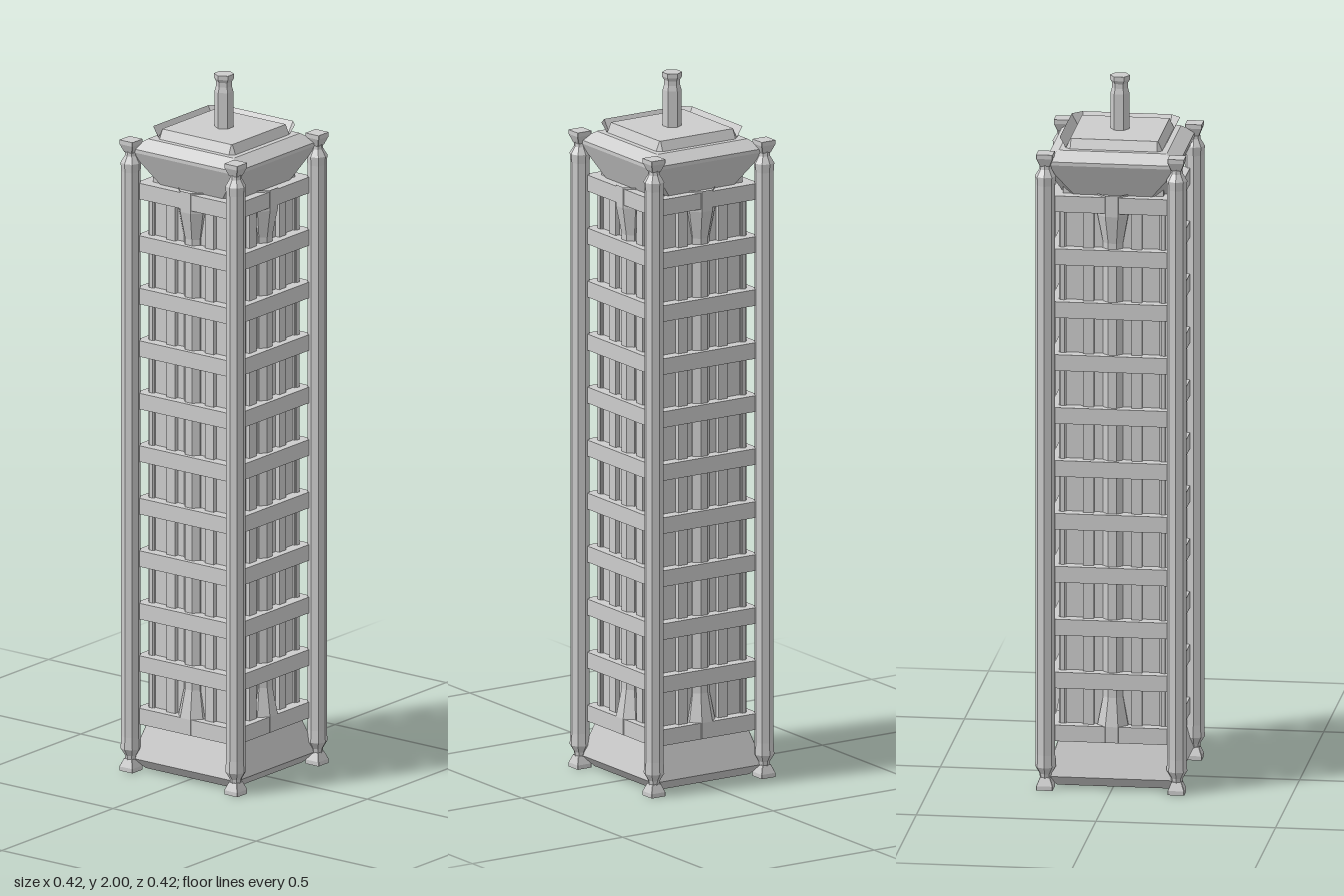
import * as THREE from 'three';

// Square outline with cut corners, half width h, cut c, at height y
const ring = (h, c, y) => [
  [h, h - c], [h - c, h], [c - h, h], [-h, h - c],
  [-h, c - h], [c - h, -h], [h - c, -h], [h, c - h],
].map(([x, z]) => [x, y, z]);

// Skin between rings stacked upward, with optional caps; inward flips the skin
function loft(rings, { bottom = false, top = false, inward = false } = {}) {
  const pos = [];
  const tri = (a, b, c) => pos.push(...a, ...(inward ? [...c, ...b] : [...b, ...c]));
  for (let i = 0; i < rings.length - 1; i++) {
    const lo = rings[i], hi = rings[i + 1], n = lo.length;
    for (let j = 0; j < n; j++) {
      const k = (j + 1) % n;
      tri(lo[j], hi[j], hi[k]);
      tri(lo[j], hi[k], lo[k]);
    }
  }
  const first = rings[0], last = rings[rings.length - 1];
  for (let j = 1; j < first.length - 1; j++) {
    if (bottom) tri(first[0], first[j], first[j + 1]);
    if (top) tri(last[0], last[j + 1], last[j]);
  }
  const g = new THREE.BufferGeometry();
  g.setAttribute('position', new THREE.Float32BufferAttribute(pos, 3));
  g.computeVertexNormals();
  return g;
}

export function createModel() {
  const model = new THREE.Group();
  model.name = 'tower';
  const stone = new THREE.MeshStandardMaterial({ color: 0xcccccc, flatShading: true });
  stone.name = 'grey stone';

  function add(parent, name, geometry, x = 0, y = 0, z = 0) {
    const mesh = new THREE.Mesh(geometry, stone);
    mesh.name = name;
    mesh.position.set(x, y, z);
    parent.add(mesh);
    return mesh;
  }
  // Turned part from [radius, height] points with few sides
  const turned = (points, sides) =>
    new THREE.LatheGeometry(points.map(([r, y]) => new THREE.Vector2(r, y)), sides);

  // Base, recessed core and flared crown
  add(model, 'base', loft([
    ring(0.155, 0.002, 0.005), ring(0.183, 0.002, 0.035), ring(0.152, 0.002, 0.135),
  ], { bottom: true, top: true }));
  add(model, 'core', new THREE.BoxGeometry(0.28, 1.6, 0.28), 0, 0.92, 0);
  add(model, 'crown', loft([
    ring(0.145, 0.04, 1.69), ring(0.185, 0.003, 1.785),
    ring(0.185, 0.003, 1.795), ring(0.15, 0.003, 1.82),
  ], { bottom: true, top: true }));

  // Floor bands
  for (let i = 0; i < 11; i++) {
    add(model, 'floorBand', new THREE.BoxGeometry(0.346, 0.046, 0.346), 0, 0.157 + i * 0.1515, 0);
  }

  // Central pier and side ribs on each face
  const pier = turned([[0.046, 0.135], [0.046, 0.18], [0.03, 0.26], [0.03, 1.56], [0.046, 1.64], [0.046, 1.7]], 8);
  for (let i = 0; i < 4; i++) {
    const face = new THREE.Group();
    face.name = 'facade';
    face.rotation.y = i * Math.PI / 2;
    add(face, 'pier', pier, 0, 0, 0.132).rotation.y = Math.PI / 8;
    for (const s of [-1, 1]) {
      add(face, 'rib', new THREE.BoxGeometry(0.03, 1.56, 0.016), s * 0.067, 0.915, 0.145);
      add(face, 'edgeRib', new THREE.BoxGeometry(0.02, 1.56, 0.012), s * 0.14, 0.915, 0.14);
    }
    model.add(face);
  }

  // Corner columns with square feet and caps
  const shaft = turned([[0.014, 0.025], [0.017, 0.045], [0.029, 0.065], [0.027, 0.1],
    [0.027, 1.73], [0.029, 1.755], [0.017, 1.775], [0.014, 1.8]], 8);
  const foot = loft([ring(0.023, 0.001, 0), ring(0.023, 0.001, 0.012), ring(0.014, 0.001, 0.035)],
    { bottom: true, top: true });
  const cap = loft([ring(0.014, 0.001, 1.785), ring(0.023, 0.001, 1.808), ring(0.023, 0.001, 1.82)],
    { bottom: true, top: true });
  for (const x of [-0.183, 0.183]) {
    for (const z of [-0.183, 0.183]) {
      add(model, 'columnShaft', shaft, x, 0, z);
      add(model, 'columnFoot', foot, x, 0, z);
      add(model, 'columnCap', cap, x, 0, z);
    }
  }

  // Roof platform and the inner slope of the parapet
  add(model, 'roofPlatform', loft([ring(0.135, 0.014, 1.818), ring(0.122, 0.002, 1.847)], { top: true }));
  add(model, 'parapet', loft([ring(0.135, 0.014, 1.82), ring(0.151, 0.027, 1.85)], { inward: true }));

  // Six-sided mast
  add(model, 'mast', turned([[0.026, 1.845], [0.026, 1.95], [0.022, 1.965], [0.022, 1.978],
    [0.028, 1.988], [0.028, 2], [0, 2]], 6));
  return model;
}
